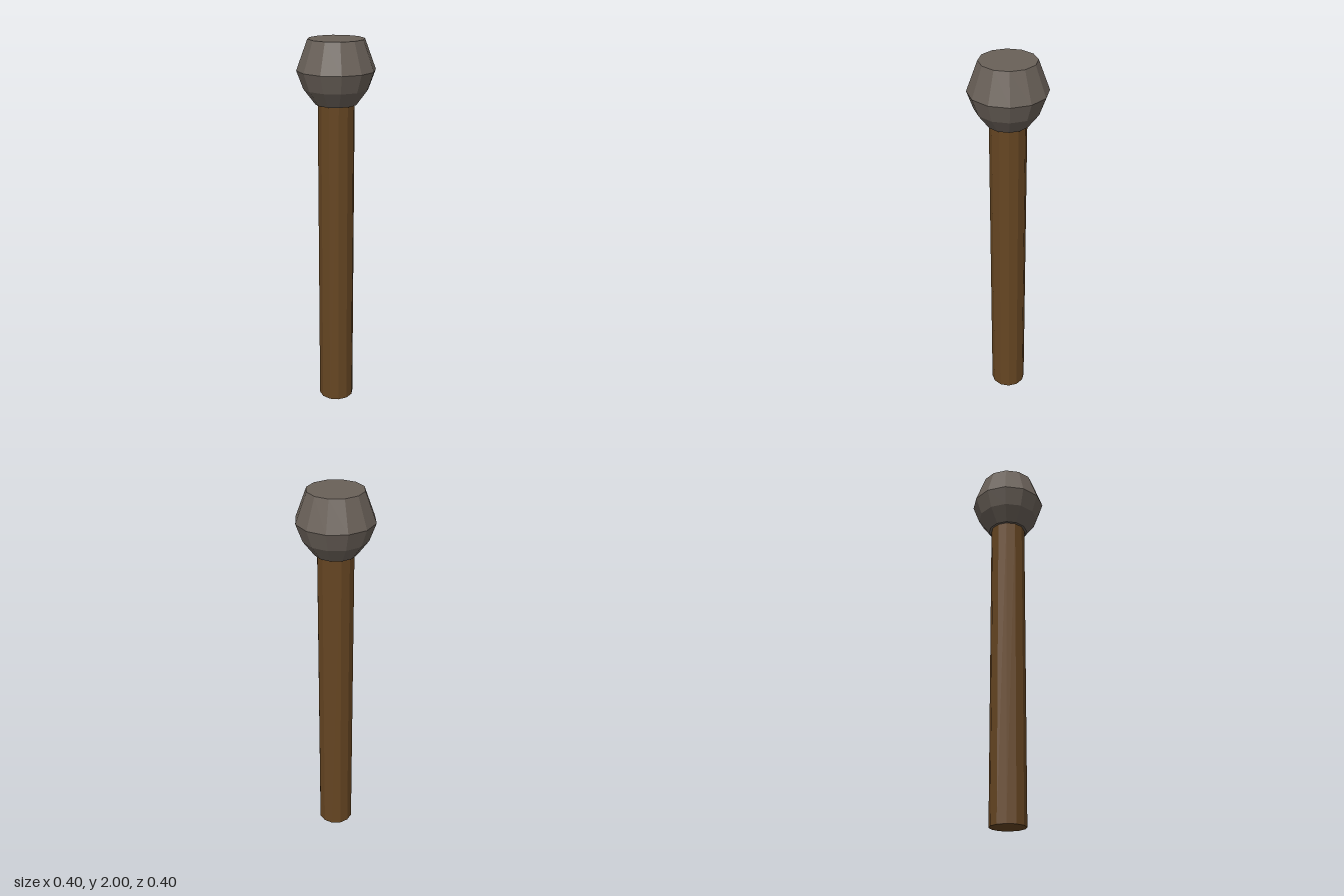
import * as THREE from 'three';

const SIDES = 12;

export function createModel() {
  const model = new THREE.Group();
  model.name = 'mallet';

  const wood = new THREE.MeshStandardMaterial({ color: 0x654522, flatShading: true });
  wood.name = 'brown wood';
  const stone = new THREE.MeshStandardMaterial({ color: 0x696058, flatShading: true });
  stone.name = 'grey stone';

  // Straight handle, its top end sunk into the head
  const handleHeight = 1.72;
  const handle = new THREE.Mesh(
    new THREE.CylinderGeometry(0.094, 0.094, handleHeight, SIDES), wood);
  handle.name = 'handle';
  handle.position.y = handleHeight / 2;
  model.add(handle);

  // Faceted head: rounded underneath, tapering to a flat top
  const profile = [
    [0, 1.677], [0.107, 1.677], [0.166, 1.755], [0.2, 1.847], [0.143, 2], [0, 2],
  ].map(([r, y]) => new THREE.Vector2(r, y));
  const head = new THREE.Mesh(new THREE.LatheGeometry(profile, SIDES), stone);
  head.name = 'head';
  model.add(head);

  return model;
}
